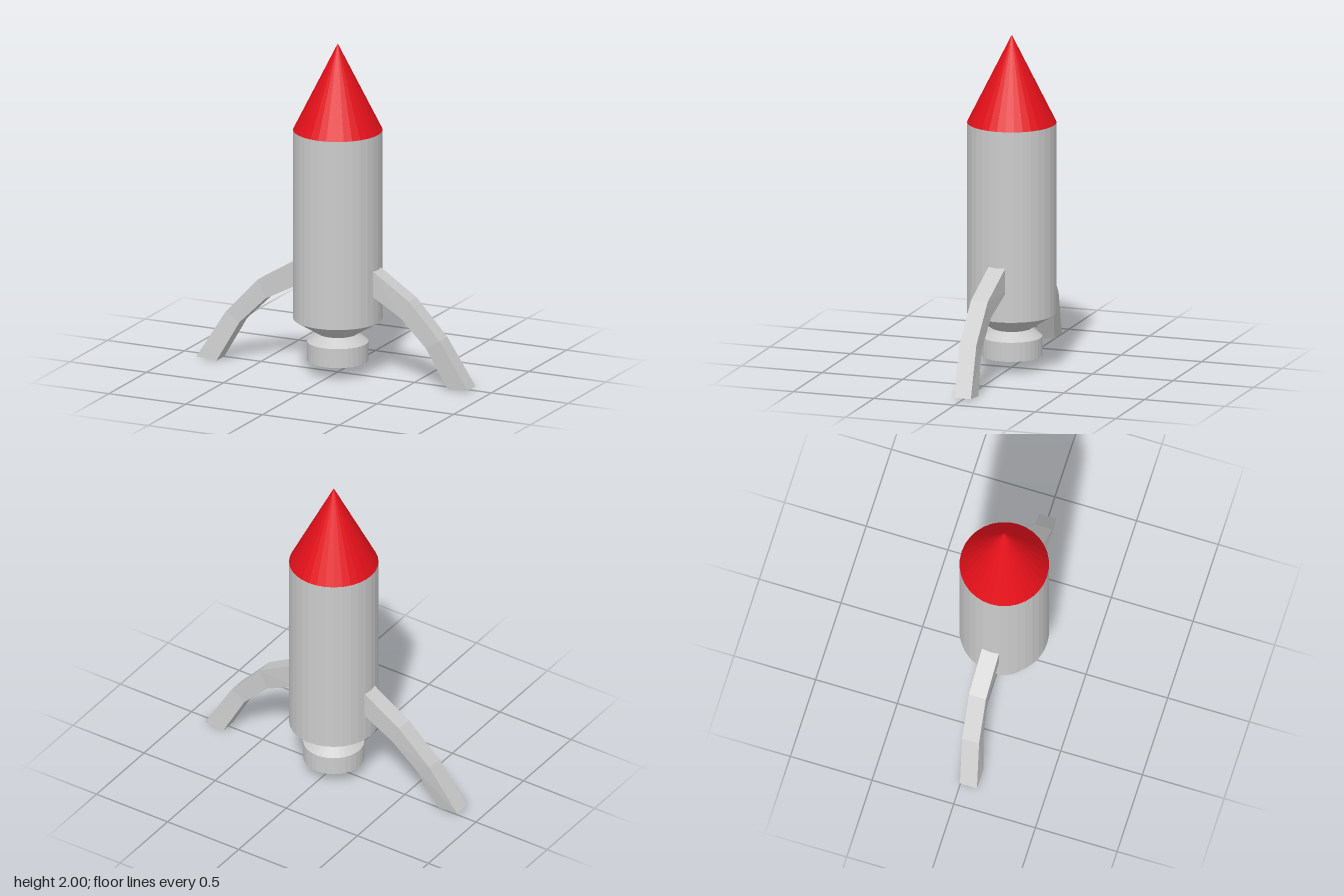
import * as THREE from 'three';

const SIDES = 32;

function createMaterial(color) {
  return new THREE.MeshStandardMaterial({ color, flatShading: true });
}

// Leg outline: [upper x, upper y, lower x, lower y] from hull to foot
const LEG_SECTIONS = [
  [0.24, 0.667, 0.24, 0.51],
  [0.50, 0.51, 0.45, 0.40],
  [0.70, 0.295, 0.61, 0.24],
  [0.87, 0.01, 0.74, 0.0],
];

// Four-sided loft through the leg sections; zs shifts each section sideways
function legGeometry(side, zs) {
  const half = 0.052;
  const positions = [];
  LEG_SECTIONS.forEach(([ux, uy, lx, ly], i) => {
    const back = zs[i] - half, front = zs[i] + half;
    positions.push(
      side * ux, uy, back, side * ux, uy, front,
      side * lx, ly, front, side * lx, ly, back);
  });
  const index = [];
  const quad = (a, b, c, d) =>
    side > 0 ? index.push(a, b, c, a, c, d) : index.push(a, c, b, a, d, c);
  const last = (LEG_SECTIONS.length - 1) * 4;
  for (let s = 0; s < last; s += 4) {
    for (let k = 0; k < 4; k++) {
      const n = (k + 1) % 4;
      quad(s + k, s + n, s + 4 + n, s + 4 + k);
    }
  }
  quad(0, 3, 2, 1);
  quad(last, last + 1, last + 2, last + 3);
  const indexed = new THREE.BufferGeometry();
  indexed.setAttribute('position', new THREE.Float32BufferAttribute(positions, 3));
  indexed.setIndex(index);
  const geometry = indexed.toNonIndexed();
  geometry.computeVertexNormals();
  return geometry;
}

export function createModel() {
  const rocket = new THREE.Group();
  rocket.name = 'rocket';
  const grey = createMaterial(0xcccccc);
  const red = createMaterial(0xe3101a);

  const add = (name, geometry, material, y = 0) => {
    const mesh = new THREE.Mesh(geometry, material);
    mesh.name = name;
    mesh.position.y = y;
    rocket.add(mesh);
  };

  // Hull and pointed nose
  add('hull', new THREE.CylinderGeometry(0.262, 0.262, 1.145, SIDES), grey, 0.9025);
  add('noseCone', new THREE.ConeGeometry(0.262, 0.525, SIDES), red, 1.7375);

  // Engine: hollow nozzle, narrow waist and flare up to the hull
  const profile = [
    [0, 0.155], [0.132, 0.155], [0.132, 0.075], [0.18, 0.075],
    [0.18, 0.19], [0.117, 0.24], [0.262, 0.33],
  ].map(([r, y]) => new THREE.Vector2(r, y));
  add('engineNozzle', new THREE.LatheGeometry(profile, SIDES), grey);

  // Landing legs, each with its own slight sideways bend
  add('leftLeg', legGeometry(1, [0, 0.023, 0.023, -0.003]), grey);
  add('rightLeg', legGeometry(-1, [-0.005, -0.01, 0.01, 0.05]), grey);

  return rocket;
}
